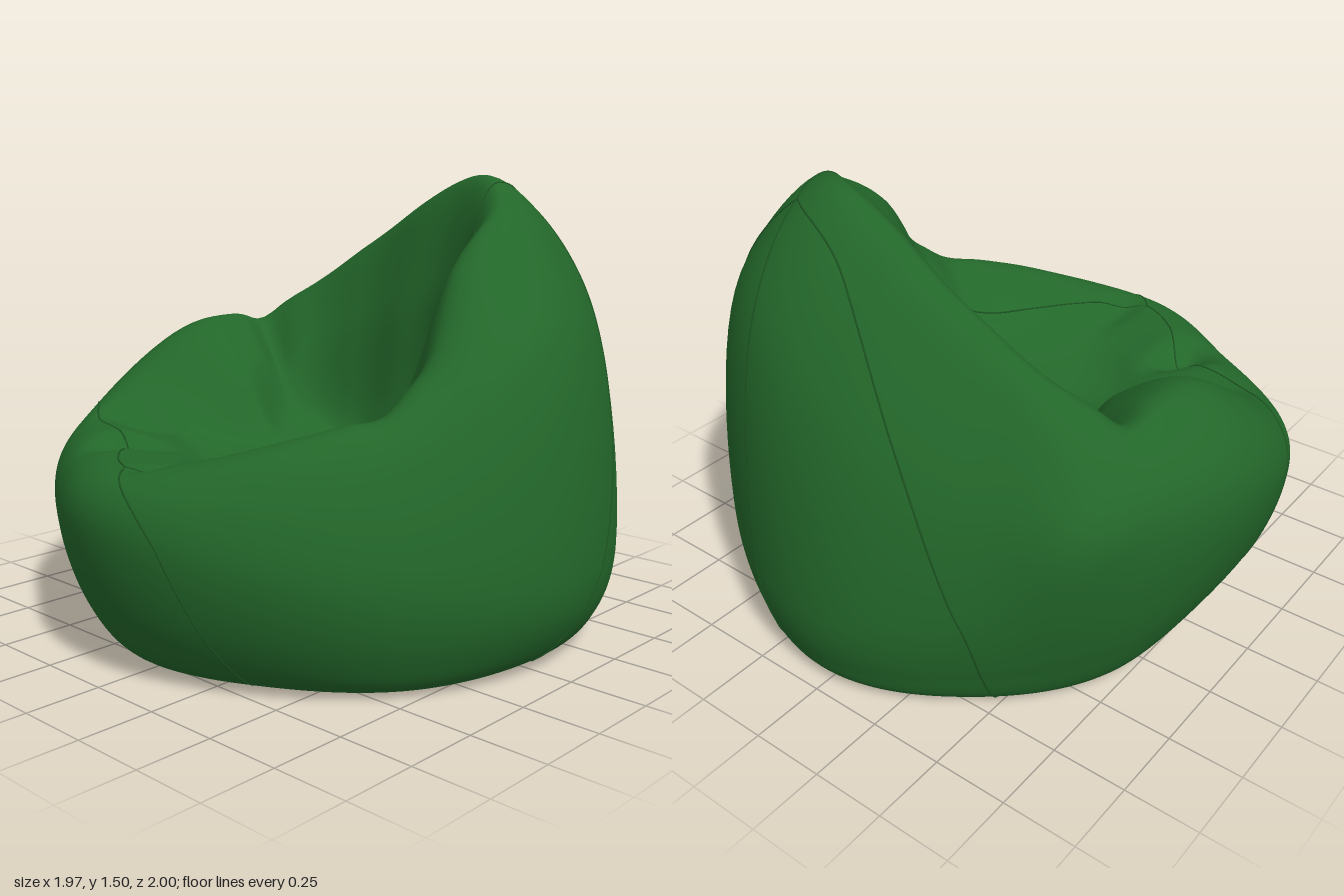
import * as THREE from 'three';
import { mergeVertices } from 'three/addons/utils/BufferGeometryUtils.js';

// Profile every 30 degrees, starting at the front (+z) and turning towards +x:
// [base r, belly r, belly y, shoulder r, shoulder y, rim r, rim y, seat foot r, seat foot y]
const STATIONS = [
  [0.79, 1.00, 0.50, 0.96, 0.60, 0.85, 0.645, 0.42, 0.55],
  [0.78, 0.965, 0.42, 0.90, 0.64, 0.79, 0.735, 0.42, 0.59],
  [0.82, 0.95, 0.35, 0.85, 0.73, 0.71, 0.87, 0.41, 0.62],
  [0.83, 0.98, 0.30, 0.83, 1.00, 0.54, 1.21, 0.35, 0.60],
  [0.86, 0.98, 0.30, 0.86, 1.07, 0.56, 1.40, 0.32, 0.55],
  [0.89, 0.97, 0.30, 0.86, 1.19, 0.55, 1.50, 0.28, 0.52],
  [0.92, 1.00, 0.30, 0.86, 1.00, 0.53, 1.41, 0.25, 0.52],
  [0.85, 0.95, 0.42, 0.88, 0.82, 0.62, 1.23, 0.31, 0.54],
  [0.80, 0.98, 0.62, 0.94, 0.80, 0.78, 0.99, 0.40, 0.60],
  [0.70, 0.985, 0.62, 0.92, 0.80, 0.73, 0.935, 0.26, 0.56],
  [0.74, 0.975, 0.50, 0.93, 0.61, 0.83, 0.68, 0.36, 0.55],
  [0.73, 0.93, 0.45, 0.87, 0.59, 0.74, 0.65, 0.40, 0.53],
];

// Soft folds: [angle, angular width, depth, place along profile, reach along profile]
const FOLDS = [
  [243, 5, 0.08, 6.6, 0.8], [70, 6, 0.05, 6.6, 0.6], [330, 6, 0.09, 6.2, 0.6],
  [56, 6, 0.04, 6.4, 0.6], [304, 6, 0.04, 6.6, 0.5], [2, 4, 0.03, 6.4, 0.5],
];

// Stitch lines as [angle, place along profile]
const SEAMS = {
  frontSeam: [[-3, 6], [10, 4.4], [21, 3.1], [27, 2.1]],
  frontRimSeam: [[357, 6], [345, 6.1], [330, 6.3], [315, 6.2], [300, 5.8], [290, 4.9], [285, 4], [281, 3], [278, 2.1]],
  leftSeam: [[147, 5.6], [139, 5.3], [116, 4.5], [102, 3.9], [90, 2.2]],
  wingSeam: [[147, 5.6], [140, 5.8], [132, 6.2], [115, 6.6], [80, 7], [45, 7.4], [15, 6.7], [-3, 6]],
  backSeam: [[147, 5.6], [156, 5], [162, 4], [165, 2.1]],
  backRightSeam: [[147, 5.6], [175, 5.5], [196, 5], [208, 4], [215, 2.1]],
};

const SEGMENTS = 9;
const lerp = THREE.MathUtils.lerp;
const gauss = (d, w) => Math.exp(-(d * d) / (w * w));
const angleGap = (a, b) => ((a - b + 900) % 360) - 180;

// Smooth periodic blend of the stations at an angle in degrees
function stationAt(deg) {
  const s = (((deg % 360) + 360) % 360) / 30;
  const i = Math.floor(s), t = s - i;
  const row = k => STATIONS[(i + k + 12) % 12];
  return row(0).map((b, k) => {
    const a = row(-1)[k], c = row(1)[k], d = row(2)[k];
    return b + 0.5 * t * (c - a + t * (2 * a - 5 * b + 4 * c - d + t * (3 * (b - c) + d - a)));
  });
}

// Curve from base centre, out and over the rim, down to the seat centre
function profileAt(deg) {
  const [rb, rm, ym, rs, ys, rr, yr, rf, yf] = stationAt(deg);
  return new THREE.CatmullRomCurve3([
    [0, 0.03], [rb * 0.6, 0.02], [rb, 0.015],
    [lerp(rb, rm, 0.64), ym * 0.36], [rm, ym], [rs, ys], [rr, yr],
    [lerp(rr, rf, 0.56), lerp(yr, yf, 0.37)], [rf, yf], [0, 0.51],
  ].map(([r, y]) => new THREE.Vector3(r, y, 0)), false, 'centripetal');
}

function surfacePoint(deg, u, profile = profileAt(deg)) {
  const p = profile.getPoint(Math.min(1, u / SEGMENTS));
  const a = THREE.MathUtils.degToRad(deg);
  // Blunt corner where the back meets the right arm
  const r = p.x * (1 + 0.05 * gauss(angleGap(deg, 229), 10) * gauss(u - 4.6, 1));
  const x = r * Math.sin(a), z = r * Math.cos(a);
  let y = p.y;
  for (const [fa, fw, depth, fu, fl] of FOLDS) {
    y -= depth * gauss(angleGap(deg, fa), fw) * gauss(u - fu, fl);
  }
  // Wrinkled underside
  if (u < 2) {
    const fade = Math.sin(Math.PI * u / 2);
    y += 0.04 * fade * Math.pow(Math.sin(9 * x + 2 * Math.sin(4 * z)), 2);
  }
  return new THREE.Vector3(x, Math.max(0, y), z);
}

function cushionGeometry() {
  const around = 180, along = 108;
  const positions = [], index = [];
  for (let i = 0; i < around; i++) {
    const deg = (i / around) * 360, profile = profileAt(deg);
    for (let j = 0; j <= along; j++) {
      positions.push(...surfacePoint(deg, (j / along) * SEGMENTS, profile).toArray());
      if (j === along) continue;
      const a = i * (along + 1) + j;
      const b = ((i + 1) % around) * (along + 1) + j;
      if (j > 0) index.push(a, b, b + 1);
      if (j < along - 1) index.push(a, b + 1, a + 1);
      else index.push(a, b, a + 1);
    }
  }
  let geometry = new THREE.BufferGeometry();
  geometry.setAttribute('position', new THREE.Float32BufferAttribute(positions, 3));
  geometry.setIndex(index);
  geometry = mergeVertices(geometry, 1e-5);
  geometry.computeVertexNormals();
  return geometry;
}

// Thin cord following the fabric
function seamGeometry(path) {
  const guide = new THREE.CatmullRomCurve3(path.map(([a, u]) => new THREE.Vector3(a, u * 20, 0)));
  const points = guide.getPoints(60).map(p => surfacePoint(p.x, p.y / 20));
  return new THREE.TubeGeometry(new THREE.CatmullRomCurve3(points), 120, 0.003, 6);
}

export function createModel() {
  const group = new THREE.Group();
  group.name = 'beanBagChair';

  const fabric = new THREE.MeshStandardMaterial({ color: 0x23672a });
  const thread = new THREE.MeshStandardMaterial({ color: 0x1b5220 });

  const cushion = new THREE.Mesh(cushionGeometry(), fabric);
  cushion.name = 'cushion';
  group.add(cushion);

  for (const [name, path] of Object.entries(SEAMS)) {
    const seam = new THREE.Mesh(seamGeometry(path), thread);
    seam.name = name;
    group.add(seam);
  }
  return group;
}
